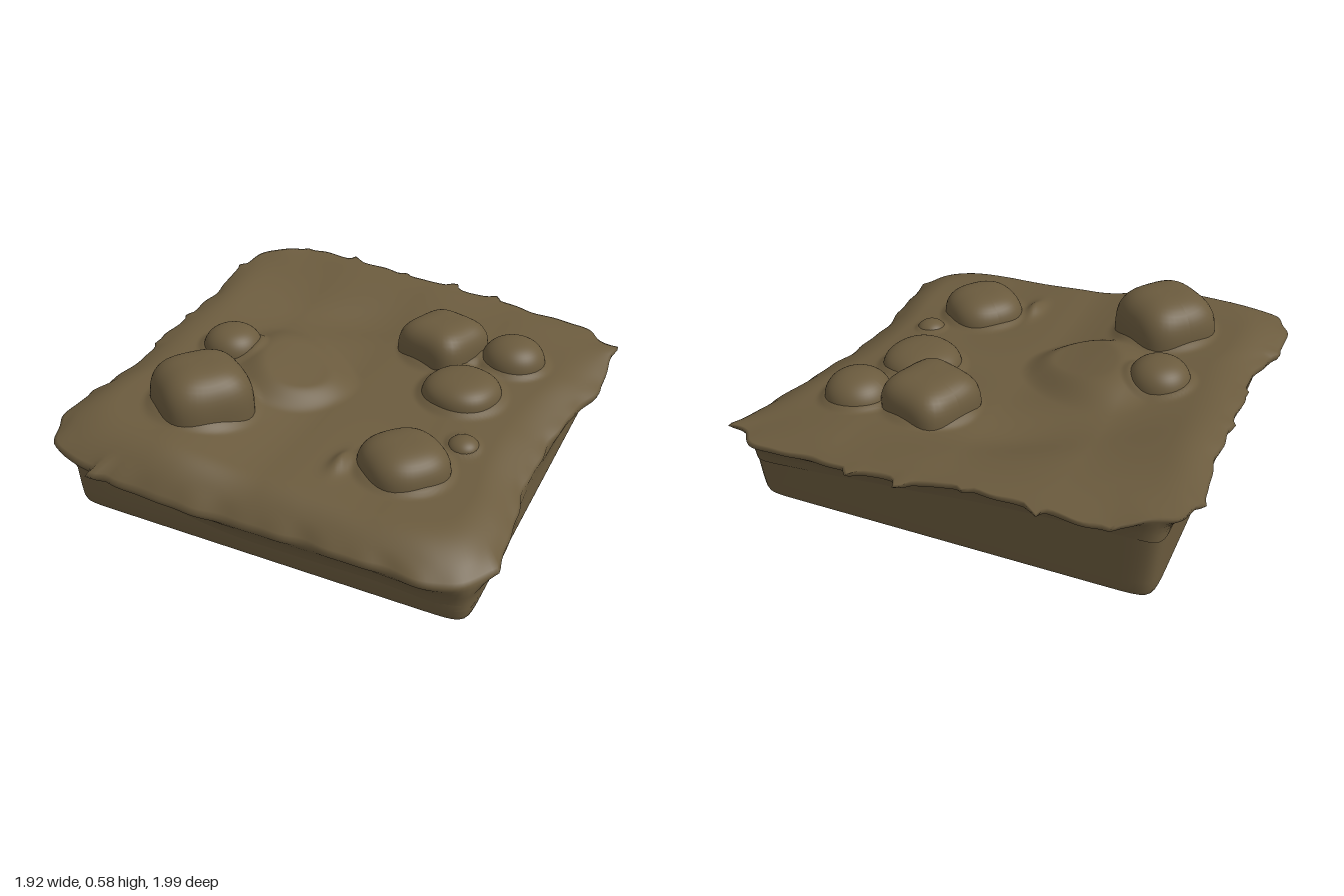
import * as THREE from 'three';

const N = 320;      // points around the outline
const RINGS = 84;   // rings from centre to rim
const { smoothstep, lerp, clamp } = THREE.MathUtils;

// Rim of the ground sheet, clockwise from the back left: x, y, z
const RIM = [
  [-0.90, 0.48, -0.80], [-0.80, 0.50, -0.88], [-0.69, 0.49, -0.955], [-0.42, 0.48, -0.95],
  [-0.14, 0.46, -0.93], [0.10, 0.43, -0.95], [0.31, 0.41, -0.945], [0.60, 0.38, -0.925],
  [0.81, 0.36, -0.91], [0.87, 0.35, -0.84], [0.93, 0.34, -0.79], [0.95, 0.27, -0.55],
  [0.89, 0.26, -0.25], [0.86, 0.23, 0.05], [0.86, 0.21, 0.30], [0.90, 0.19, 0.62],
  [0.87, 0.18, 0.82], [0.76, 0.18, 0.90], [0.50, 0.20, 0.92], [0.20, 0.20, 0.91],
  [-0.10, 0.21, 0.92], [-0.38, 0.25, 0.955], [-0.65, 0.29, 0.95], [-0.85, 0.32, 0.90],
  [-0.94, 0.34, 0.78], [-0.95, 0.35, 0.52], [-0.90, 0.38, 0.30], [-0.91, 0.41, 0.0],
  [-0.91, 0.43, -0.35], [-0.93, 0.46, -0.68],
];

// Ragged points along the rim: x, z, reach
const SPIKES = [
  [-0.69, -0.95, 0.02], [-0.42, -0.95, 0.05], [-0.14, -0.93, 0.03], [0.10, -0.95, 0.05],
  [0.31, -0.945, 0.04], [0.93, -0.80, 0.03], [-0.93, -0.68, 0.025], [-0.91, -0.15, 0.02],
  [-0.91, 0.12, 0.02], [-0.95, 0.52, 0.02], [-0.63, 0.95, 0.05], [0.88, 0.72, 0.02],
];

// Ground heights on a 5 by 5 net, back to front
const GROUND = [
  [0.48, 0.48, 0.45, 0.41, 0.37],
  [0.48, 0.42, 0.38, 0.37, 0.34],
  [0.45, 0.41, 0.34, 0.33, 0.30],
  [0.42, 0.40, 0.32, 0.29, 0.28],
  [0.40, 0.40, 0.33, 0.30, 0.28],
];

// Stones: x, z, radius, top height, squareness in plan, squareness upright, turn
const STONES = [
  [-0.45, 0.47, 0.195, 0.585, 3.2, 2.9, 0.68],
  [0.255, -0.42, 0.17, 0.52, 4, 3.2, 0.35],
  [0.57, -0.46, 0.14, 0.47, 2, 2.3, 0],
  [0.45, -0.13, 0.165, 0.43, 2.2, 2.7, 0.3],
  [0.42, 0.43, 0.172, 0.42, 2.6, 2.8, 0.7],
  [-0.56, 0.035, 0.13, 0.52, 2, 2.4, 0],
  [0.58, 0.20, 0.065, 0.345, 2, 2, 0],
];

function groundHeight(x, z) {
  const u = clamp((x + 0.9) / 0.45, 0, 3.999), v = clamp((z + 0.9) / 0.45, 0, 3.999);
  const i = Math.floor(u), j = Math.floor(v);
  const fu = smoothstep(u - i, 0, 1), fv = smoothstep(v - j, 0, 1);
  let y = lerp(lerp(GROUND[j][i], GROUND[j][i + 1], fu),
    lerp(GROUND[j + 1][i], GROUND[j + 1][i + 1], fu), fv);
  // Knoll: long slope behind, steep step towards the front right
  const along = (x + 0.2 + z - 0.1) * Math.SQRT1_2, across = (x + 0.2 - z + 0.1) * Math.SQRT1_2;
  const knoll = Math.hypot(along / (along > 0 ? 0.21 : 0.42), across / 0.25);
  y += 0.05 * (1 - smoothstep(knoll, 0.5, 1.08));
  // Hollow below the back left plateau
  const dip = (x + 0.3) * 0.45 + (z + 0.55) * 0.89, run = (x + 0.3) * 0.89 - (z + 0.55) * 0.45;
  y -= 0.03 * Math.exp(-(((dip - 0.12) / 0.14) ** 2) - (run / 0.35) ** 2);
  // Small ridge beside the front stone
  y += 0.035 * Math.exp(-(((x - 0.2) / 0.035) ** 2) - ((z - 0.52) / 0.08) ** 2);
  return y;
}

// Joins closed rings of equal length into one smooth skin
function skin(rings) {
  const pos = [], index = [];
  for (const ring of rings) for (const p of ring) pos.push(...p);
  for (let r = 0; r < rings.length - 1; r++) {
    for (let i = 0; i < N; i++) {
      const a = r * N + i, b = r * N + (i + 1) % N;
      index.push(a, b, b + N, a, b + N, a + N);
    }
  }
  const geo = new THREE.BufferGeometry();
  geo.setAttribute('position', new THREE.Float32BufferAttribute(pos, 3));
  geo.setIndex(index);
  geo.computeVertexNormals();
  return geo;
}

// Rounded block: a sphere squared off in plan and upright
function stoneGeometry(radius, height, plan, upright) {
  const geo = new THREE.SphereGeometry(1, 48, 32);
  const pos = geo.attributes.position;
  for (let i = 0; i < pos.count; i++) {
    const x = pos.getX(i), y = pos.getY(i), z = pos.getZ(i);
    const flat = Math.pow(Math.abs(x) ** plan + Math.abs(z) ** plan, 1 / plan);
    const k = Math.pow(flat ** upright + Math.abs(y) ** upright, -1 / upright);
    pos.setXYZ(i, x * k * radius, y * k * height, z * k * radius);
  }
  geo.computeVertexNormals();
  return geo;
}

export function createModel() {
  const group = new THREE.Group();
  group.name = 'groundTile';
  const earth = new THREE.MeshStandardMaterial({ color: 0x6b5b3e });
  earth.name = 'earth brown';

  const curve = new THREE.CatmullRomCurve3(RIM.map(p => new THREE.Vector3(...p)), true);
  const rim = curve.getSpacedPoints(N).slice(0, N);
  const ragged = rim.map((p, i) => {
    const a = i / N * Math.PI * 2;
    let k = 0.006 * Math.sin(23 * a) + 0.004 * Math.sin(41 * a + 1);
    for (const [x, z, reach] of SPIKES) {
      k += reach * Math.exp(-((p.x - x) ** 2 + (p.z - z) ** 2) / 0.0005);
    }
    return k;
  });

  // Wall outline: a rounded square in the same directions as the rim
  const wall = rim.map(p => {
    const k = Math.pow(Math.abs(p.x / 0.85) ** 28 + Math.abs(p.z / 0.86) ** 28, -1 / 28);
    return [p.x * k, p.z * k];
  });

  // Ground sheet, bending down to the rim
  const sheet = [];
  for (let r = 0; r <= RINGS; r++) {
    const t = r / RINGS;
    sheet.push(rim.map((p, i) => {
      const k = t + ragged[i] * smoothstep(t, 0.93, 1);
      const x = p.x * k, z = p.z * k;
      let y = groundHeight(x, z);
      // Soft banks around the stones
      for (const [cx, cz, radius] of STONES) {
        const d = Math.hypot(x - cx, z - cz) / radius;
        y += 0.15 * radius * (1 - smoothstep(d, 0.9, 1.25));
      }
      const bend = clamp((t - 0.8) / 0.2, 0, 1) ** 2;
      return [x, lerp(y, p.y, bend), z];
    }));
  }
  // Rolled lip, then an underside that curves down into the wall
  sheet.push(rim.map((p, i) => {
    const k = 0.995 + ragged[i] * 0.6;
    return [p.x * k, p.y - 0.02, p.z * k];
  }));
  for (const [out, drop] of [[0.65, 0.036], [0.3, 0.058], [0.08, 0.09], [-0.05, 0.125]]) {
    sheet.push(rim.map((p, i) => [
      lerp(wall[i][0], p.x, out), p.y - drop, lerp(wall[i][1], p.z, out)]));
  }
  const top = new THREE.Mesh(skin(sheet), earth);
  top.name = 'groundSheet';
  group.add(top);

  // Stones half sunk in the ground
  STONES.forEach(([x, z, radius, topY, plan, upright, turn], i) => {
    const y = groundHeight(x, z) - 0.01;
    const stone = new THREE.Mesh(stoneGeometry(radius, topY - y, plan, upright), earth);
    stone.position.set(x, y, z);
    stone.rotation.y = -turn;
    stone.name = `stone${i + 1}`;
    group.add(stone);
  });

  // Block below with a slightly tilted, soft-edged floor
  const level = (scale, lift) => wall.map(([wx, wz]) => {
    const x = wx * scale + 0.008, z = wz * scale + 0.01;
    return [x, Math.max(0, 0.038 - 0.023 * (x + z)) + lift, z];
  });
  const block = [
    rim.map((p, i) => [wall[i][0], p.y - 0.06, wall[i][1]]),
    level(0.99, 0.08), level(0.985, 0.03), level(0.978, 0.01),
    level(0.964, 0.001), level(0.945, 0), level(0.5, 0), level(0, 0),
  ];
  const base = new THREE.Mesh(skin(block), earth);
  base.name = 'baseBlock';
  group.add(base);

  return group;
}
